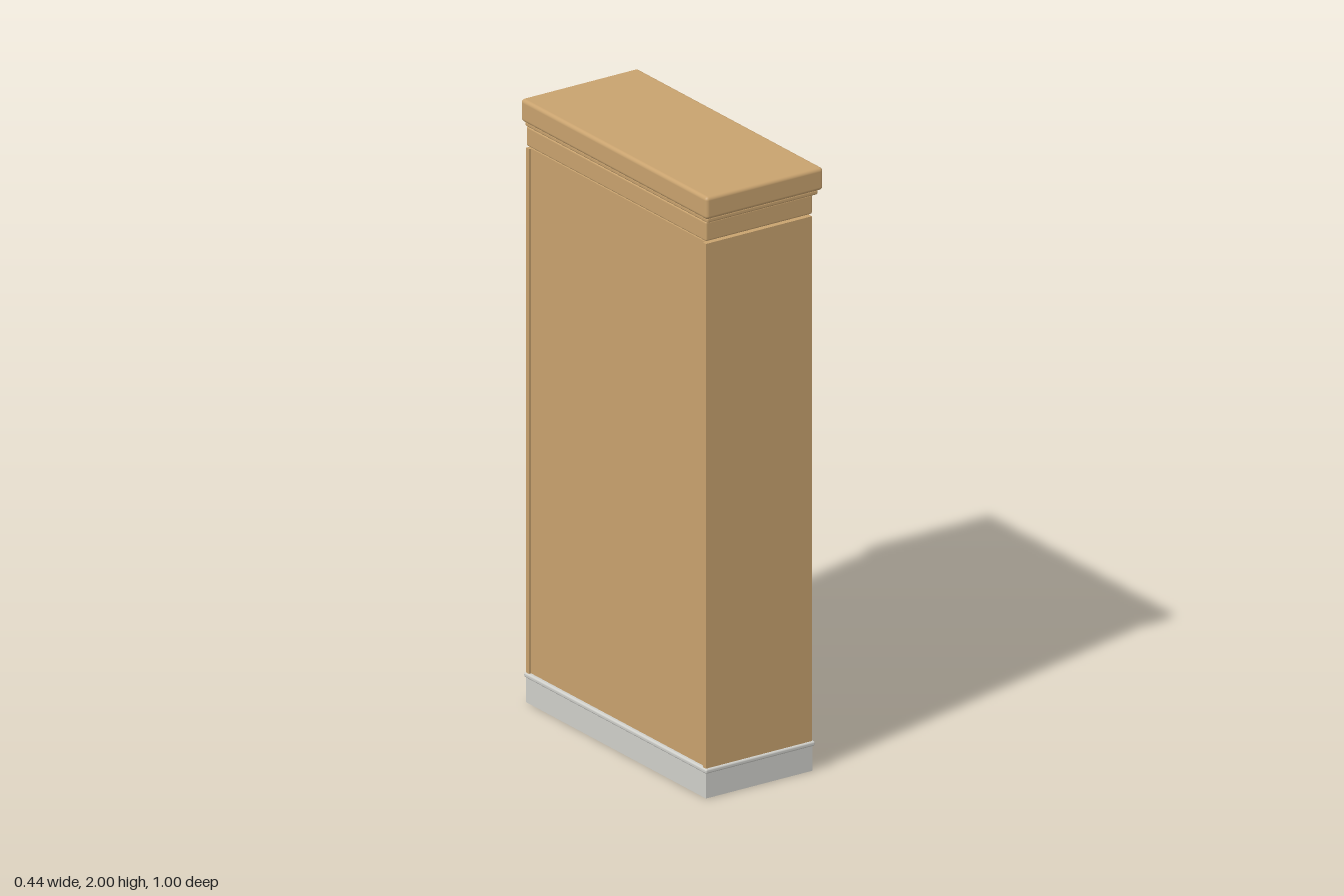
import * as THREE from 'three';
import { RoundedBoxGeometry } from 'three/addons/geometries/RoundedBoxGeometry.js';

const wood = new THREE.MeshStandardMaterial({ color: 0xc8a26e });
wood.name = 'wood';
const paleGrey = new THREE.MeshStandardMaterial({ color: 0xcfcfca });
paleGrey.name = 'paleGrey';

export function createModel() {
  const model = new THREE.Group();
  model.name = 'archedCabinet';

  function add(name, geometry, material) {
    const mesh = new THREE.Mesh(geometry, material);
    mesh.name = name;
    model.add(mesh);
    return mesh;
  }
  // Block given by its limits; a radius rounds the edges
  function block(name, [x0, x1], [y0, y1], [z0, z1], material, radius = 0) {
    const size = [x1 - x0, y1 - y0, z1 - z0];
    const geometry = radius
      ? new RoundedBoxGeometry(...size, 3, radius)
      : new THREE.BoxGeometry(...size);
    geometry.translate((x0 + x1) / 2, (y0 + y1) / 2, (z0 + z1) / 2);
    return add(name, geometry, material);
  }
  // Outline drawn on the door side and extruded towards +x from depth x0 to x1
  function doorPart(name, shape, x0, x1, material) {
    const geometry = new THREE.ExtrudeGeometry(shape, {
      depth: x1 - x0, bevelEnabled: false, curveSegments: 48,
    });
    geometry.rotateY(Math.PI / 2).translate(x0, 0, 0);
    return add(name, geometry, material);
  }

  const halfWidth = 0.483, bodyTop = 1.84;
  const sill = 0.24, spring = 1.455, inner = 0.41, outer = 0.43;

  // Plinth
  block('plinth', [-0.21, 0.19], [0, 0.085], [-halfWidth, halfWidth], paleGrey);
  block('plinthMoulding', [-0.215, 0.196], [0.083, 0.099], [-0.49, 0.49], paleGrey, 0.006);

  // Carcass with the back set in between the sides
  block('carcass', [-0.202, 0.17], [0.098, bodyTop], [-0.468, 0.468], wood);
  for (const side of [-1, 1]) {
    const z = side < 0 ? [-halfWidth, -0.467] : [0.467, halfWidth];
    block('sidePanel', [-0.21, 0.172], [0.098, bodyTop], z, wood);
  }

  // Face frame, open at the top where the arch runs behind the frieze
  const cut = Math.asin((bodyTop - spring) / inner);
  const face = new THREE.Shape();
  face.moveTo(-halfWidth, 0.098);
  face.lineTo(halfWidth, 0.098);
  face.lineTo(halfWidth, bodyTop);
  face.lineTo(Math.cos(cut) * inner, bodyTop);
  face.absarc(0, spring, inner, cut, 0, true);
  face.lineTo(inner, sill);
  face.lineTo(-inner, sill);
  face.lineTo(-inner, spring);
  face.absarc(0, spring, inner, Math.PI, Math.PI - cut, true);
  face.lineTo(-halfWidth, bodyTop);
  doorPart('faceFrame', face, 0.17, 0.188, wood);

  // Arched door panel
  const pane = new THREE.Shape();
  pane.moveTo(-inner, sill);
  pane.lineTo(inner, sill);
  pane.lineTo(inner, spring);
  pane.absarc(0, spring, inner, 0, Math.PI, false);
  doorPart('archedPane', pane, 0.171, 0.18, paleGrey);

  // Arch trim
  const trim = new THREE.Shape();
  trim.moveTo(inner, sill);
  trim.lineTo(outer, sill);
  trim.lineTo(outer, spring);
  trim.absarc(0, spring, outer, 0, Math.PI, false);
  trim.lineTo(-outer, sill);
  trim.lineTo(-inner, sill);
  trim.lineTo(-inner, spring);
  trim.absarc(0, spring, inner, Math.PI, 0, true);
  doorPart('archTrim', trim, 0.178, 0.2, wood);

  // Small ridges on the pane
  for (const [z, length] of [[0.125, 0.05], [-0.192, 0.084]]) {
    const ridge = add('paneRidge', new THREE.SphereGeometry(0.5, 20, 10), paleGrey);
    ridge.scale.set(0.016, 0.012, length);
    ridge.position.set(0.18, 0.905, z);
  }

  // Drawer pull
  block('pullPlate', [0.186, 0.193], [0.132, 0.18], [-0.068, 0.068], wood);
  block('pullLip', [0.188, 0.2], [0.165, 0.18], [-0.068, 0.068], wood, 0.004);
  block('pullBase', [0.188, 0.198], [0.132, 0.142], [-0.068, 0.068], wood, 0.003);
  for (const z of [-0.063, 0.063]) {
    block('pullEnd', [0.188, 0.199], [0.132, 0.18], [z - 0.005, z + 0.005], wood, 0.003);
  }

  // Cornice
  block('frieze', [-0.21, 0.19], [1.847, 1.912], [-halfWidth, halfWidth], wood, 0.006);
  block('corniceBead', [-0.21, 0.207], [1.91, 1.927], [-0.49, 0.49], wood, 0.006);
  block('corniceCap', [-0.22, 0.22], [1.925, 2], [-0.5, 0.5], wood, 0.012);

  return model;
}
